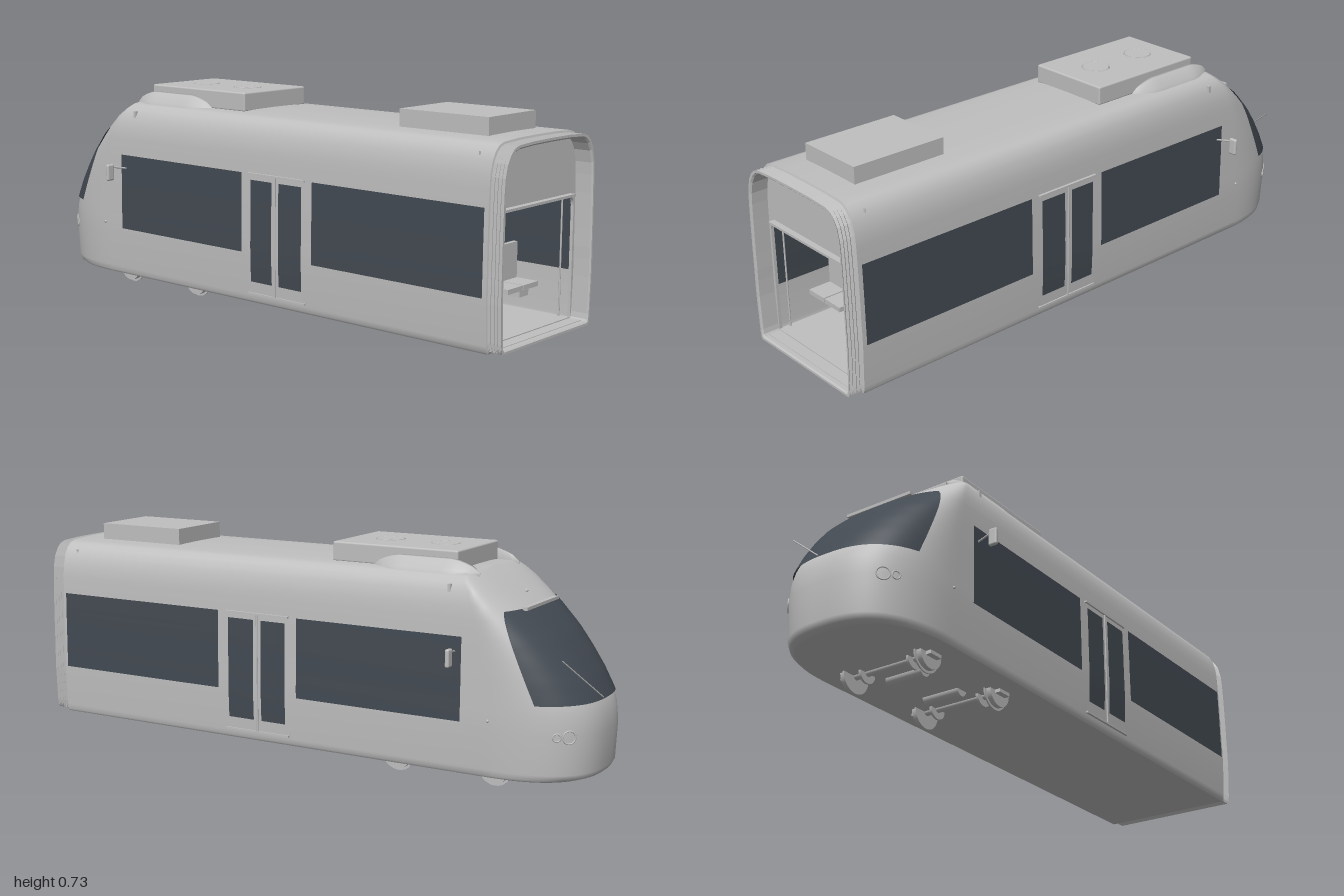
import * as THREE from 'three';
import { RoundedBoxGeometry } from 'three/addons/geometries/RoundedBoxGeometry.js';

// Body profile rows: height, half width, z where the nose curve starts, z of the nose tip
const ROWS = [
  [0.055, 0.234, -0.68, -0.965], [0.062, 0.239, -0.68, -0.985], [0.08, 0.242, -0.68, -0.995],
  [0.2, 0.247, -0.68, -1], [0.26, 0.247, -0.68, -0.993], [0.3, 0.246, -0.68, -0.978],
  [0.36, 0.246, -0.675, -0.943], [0.42, 0.245, -0.67, -0.9], [0.48, 0.244, -0.66, -0.85],
  [0.54, 0.242, -0.645, -0.785], [0.58, 0.239, -0.635, -0.735], [0.62, 0.229, -0.62, -0.68],
  [0.645, 0.214, -0.6, -0.645], [0.66, 0.197, -0.59, -0.62], [0.667, 0.175, -0.58, -0.608],
  [0.671, 0.1, -0.575, -0.602], [0.672, 0, -0.57, -0.6],
];
const N = 2.6, BACK = 0.95;

function rowAt(y) {
  let i = 0;
  while (i < ROWS.length - 2 && ROWS[i + 1][0] < y) i++;
  const f = (y - ROWS[i][0]) / (ROWS[i + 1][0] - ROWS[i][0]);
  return ROWS[i].map((v, k) => v + (ROWS[i + 1][k] - v) * f);
}

// Point on the rounded nose at angle a, pushed outward by o
function nosePoint([y, w, zs, tip], a, o = 0) {
  const s = Math.sin(a), c = Math.max(0, Math.cos(a));
  return [Math.sign(s) * Math.abs(s) ** (2 / N) * (w + o), y, zs + (tip - 1.5 * o - zs) * c ** (2 / N)];
}

// Surface through equal-length rows of points
function loft(rows, closed = false) {
  const n = rows[0].length, index = [];
  for (let i = 0; i < rows.length - 1; i++)
    for (let j = 0; j < (closed ? n : n - 1); j++) {
      const k = (j + 1) % n, a = i * n + j, b = i * n + k;
      index.push(a, b, a + n, b, b + n, a + n);
    }
  const g = new THREE.BufferGeometry();
  g.setAttribute('position', new THREE.Float32BufferAttribute(rows.flat(2), 3));
  g.setIndex(index);
  g.computeVertexNormals();
  return g;
}

export function createModel() {
  const model = new THREE.Group();
  const grey = new THREE.MeshStandardMaterial({ color: 0xbfbfbf, side: THREE.DoubleSide });
  grey.name = 'body grey';
  const dark = new THREE.MeshStandardMaterial({ color: 0x434a52, side: THREE.DoubleSide });
  dark.name = 'dark glass';

  const add = (name, geo, x = 0, y = 0, z = 0, mat = grey) => {
    const m = new THREE.Mesh(geo, mat);
    m.name = name;
    m.position.set(x, y, z);
    model.add(m);
    return m;
  };
  const box = (name, x0, x1, y0, y1, z0, z1, mat) => add(name,
    new THREE.BoxGeometry(Math.abs(x1 - x0), y1 - y0, Math.abs(z1 - z0)), (x0 + x1) / 2, (y0 + y1) / 2, (z0 + z1) / 2, mat);
  const rod = (name, a, b, r, mat) => add(name,
    new THREE.TubeGeometry(new THREE.LineCurve3(new THREE.Vector3(...a), new THREE.Vector3(...b)), 1, r, 8), 0, 0, 0, mat);
  const axle = (name, r, w, x, y, z) => { add(name, new THREE.CylinderGeometry(r, r, w, 28), x, y, z).rotation.z = Math.PI / 2; };

  // Body shell and flat underside
  const bodyRow = (r) => {
    const pts = [[-r[1], r[0], BACK]];
    for (let i = 0; i <= 48; i++) pts.push(nosePoint(r, (i / 48 - 0.5) * Math.PI));
    pts.push([r[1], r[0], BACK]);
    return pts;
  };
  add('bodyShell', loft(ROWS.map(bodyRow)));
  const base = ROWS[0];
  add('underside', loft([bodyRow([base[0], 0, base[2], base[3]]), bodyRow(base)]));

  // Windscreen laid over the nose
  const glass = [];
  for (let i = 0; i <= 18; i++) {
    const f = i / 18, r = rowAt(0.295 + 0.27 * f);
    const edge = -0.84 + 0.12 * f;
    const a = Math.acos(((edge - r[2]) / (r[3] - r[2])) ** (N / 2));
    glass.push(Array.from({ length: 33 }, (_, j) => nosePoint(r, a * (j / 16 - 1), 0.004)));
  }
  add('windscreen', loft(glass), 0, 0, 0, dark);

  // Corrugated connecting bellows around the open end
  const outline = [...ROWS.map((r) => [r[1], r[0]]), ...ROWS.slice(0, -1).reverse().map((r) => [-r[1], r[0]])];
  const ring = (s, z) => outline.map(([x, y]) => [x * s, 0.362 + (y - 0.362) * s, z]);
  const folds = [ring(1, BACK)];
  for (let i = 0; i <= 8; i++) folds.push(ring(i % 2 ? 0.955 : 0.98, BACK + 0.002 + i * 0.006));
  folds.push(ring(0.955, 1), ring(0.94, 0.995), ring(0.94, 0.93));
  const bellows = loft(folds, true).toNonIndexed();
  bellows.computeVertexNormals();
  add('bellows', bellows);

  // End wall with a rounded opening
  const wall = new THREE.Shape(ring(0.965, 0).map(([x, y]) => new THREE.Vector2(x, y)));
  const hole = new THREE.Path();
  hole.moveTo(-0.222, 0.078).lineTo(0.222, 0.078).lineTo(0.222, 0.43).quadraticCurveTo(0.22, 0.462, 0.185, 0.462);
  hole.lineTo(-0.185, 0.462).quadraticCurveTo(-0.22, 0.462, -0.222, 0.43).lineTo(-0.222, 0.078);
  wall.holes.push(hole);
  add('endWall', new THREE.ExtrudeGeometry(wall, { depth: 0.01, bevelEnabled: false }), 0, 0, 0.93);
  box('endLedge', -0.2, 0.2, 0.462, 0.47, 0.935, 0.96);

  // Side windows and doors, on both sides
  const sidePatch = (name, s, y0, y1, z0, z1, o, mat) => {
    const rows = Array.from({ length: 9 }, (_, i) => {
      const y = y0 + (y1 - y0) * i / 8, x = s * (rowAt(y)[1] + o);
      return [[x, y, z0], [x, y, z1]];
    });
    add(name, loft(rows), 0, 0, 0, mat);
  };
  for (const s of [1, -1]) {
    for (const o of [0.003, -0.004]) {
      sidePatch('sideWindow', s, 0.222, 0.485, 0.937, 0.285, o, dark);
      sidePatch('sideWindow', s, 0.222, 0.485, -0.02, -0.608, o, dark);
      sidePatch('doorPane', s, 0.128, 0.465, 0.243, 0.145, o * 1.6, dark);
      sidePatch('doorPane', s, 0.128, 0.465, 0.115, 0.022, o * 1.6, dark);
    }
    sidePatch('doorLeaf', s, 0.09, 0.482, 0.25, 0.133, 0.003, grey);
    sidePatch('doorLeaf', s, 0.09, 0.482, 0.127, 0.012, 0.003, grey);
    box('doorRail', s * 0.242, s * 0.253, 0.482, 0.488, 0.255, 0.01);
    box('doorSill', s * 0.24, s * 0.25, 0.085, 0.091, 0.255, 0.01);
    rod('doorSeal', [s * 0.25, 0.09, 0.13], [s * 0.249, 0.484, 0.13], 0.003);
    add('sideMarker', new THREE.SphereGeometry(0.005, 10, 8), s * 0.247, 0.235, -0.7);

    // Wing mirrors
    rod('mirrorArm', [s * 0.243, 0.438, -0.585], [s * 0.3, 0.448, -0.595], 0.003);
    add('mirror', new RoundedBoxGeometry(0.03, 0.057, 0.014, 3, 0.006), s * 0.311, 0.43, -0.597);

    // Headlights follow the nose
    for (const [a, r] of [[0.72, 0.02], [0.88, 0.012]]) {
      const p = nosePoint(rowAt(0.2), s * a), q = nosePoint(rowAt(0.2), s * (a + 0.02));
      const lamp = add('headlight', new THREE.TorusGeometry(r, 0.0025, 8, 28), ...p);
      lamp.rotation.y = Math.atan2(-(q[2] - p[2]), q[0] - p[0]);
    }

    // Curved fairing beside the front roof unit
    const fair = [];
    for (let i = 0; i <= 16; i++) {
      const f = i / 16, z = -0.25 - 0.37 * f;
      const k = Math.min(1, Math.sin(Math.PI * f) * 1.5) ** 0.6;
      fair.push([[s * 0.145, 0.66, z], [s * 0.145, 0.666 + 0.042 * k, z], [s * (0.148 + 0.01 * k), 0.666 + 0.038 * k, z],
        [s * (0.15 + 0.035 * k), 0.664 + 0.01 * k, z], [s * (0.15 + 0.042 * k), 0.652, z]]);
    }
    add('roofFairing', loft(fair));
  }

  // Roof equipment
  box('rearRoofUnit', -0.122, 0.122, 0.665, 0.725, 0.86, 0.53);
  add('frontRoofUnit', new RoundedBoxGeometry(0.3, 0.064, 0.445, 2, 0.006), 0, 0.698, -0.3225);
  for (const z of [-0.43, -0.23]) {
    add('roofFan', new THREE.TorusGeometry(0.046, 0.002, 6, 32), 0, 0.73, z).rotation.x = Math.PI / 2;
    add('fanCover', new THREE.CylinderGeometry(0.044, 0.044, 0.003, 32), 0, 0.73, z);
  }

  // Fittings on the front of the cab
  box('visorBar', -0.125, 0.125, 0.56, 0.57, -0.752, -0.768);
  add('topLamp', new THREE.SphereGeometry(0.006, 12, 8), 0, 0.6, -0.71);
  rod('wiper', [0.2, 0.435, -0.915], [0.03, 0.3, -0.984], 0.002);

  // Running gear
  for (const z of [-0.34, -0.68]) {
    axle('axle', 0.012, 0.28, 0, 0.056, z);
    for (const s of [1, -1]) {
      axle('wheel', 0.048, 0.02, s * 0.143, 0.056, z);
      axle('wheelFlange', 0.056, 0.005, s * 0.134, 0.056, z);
      axle('brakeDisc', 0.034, 0.008, s * 0.09, 0.056, z);
      box('axleBox', s * 0.15, s * 0.172, 0.044, 0.06, z - 0.025, z + 0.025);
    }
  }
  for (const z of [-0.42, -0.6]) axle('motor', 0.022, 0.135, 0, 0.057, z);

  // Interior floor, partition and display
  box('floor', -0.23, 0.23, 0.064, 0.075, 0.98, -0.6);
  box('cabPartition', -0.23, 0.23, 0.075, 0.64, -0.55, -0.56);
  box('cabWindow', -0.15, -0.057, 0.293, 0.377, -0.54, -0.548, dark);
  box('displayFrame', -0.058, 0.058, 0.406, 0.449, -0.52, -0.55);
  box('display', -0.054, 0.054, 0.41, 0.445, -0.512, -0.519, dark);
  box('aisleStep', -0.055, 0.055, 0.075, 0.098, -0.4, -0.55);

  // Pairs of seats: z of the backrest, facing direction, height of the back
  const seatRows = [[0.72, 1, 0.288], [0.68, -1, 0.33], [0.38, 1, 0.33], [-0.1, -1, 0.33], [-0.36, 1, 0.33]];
  for (const s of [1, -1]) {
    for (const [z, d, top] of seatRows) {
      for (const x of [0.065, 0.15]) {
        const h = s < 0 && x < 0.1 ? 0.33 : top;
        box('seatBack', s * x, s * (x + 0.08), 0.155, h, z, z + d * 0.015);
        box('seatCushion', s * x, s * (x + 0.08), 0.155, 0.171, z, z + d * 0.095);
      }
      box('seatSupport', s * 0.18, s * 0.23, 0.12, 0.155, z, z + d * 0.06);
    }
    box('seatPlinth', s * 0.06, s * 0.23, 0.075, 0.121, 0.42, 0.36);
    box('seatPlinth', s * 0.06, s * 0.23, 0.075, 0.121, -0.06, -0.5);
    for (const [x, z] of [[0.221, 0.9], [0.183, 0.3], [0.183, -0.02]])
      rod('grabPole', [s * x, 0.075, z], [s * x, 0.64, z], 0.003);
  }
  rod('centrePole', [0, 0.075, 0.13], [0, 0.66, 0.13], 0.003);
  return model;
}
